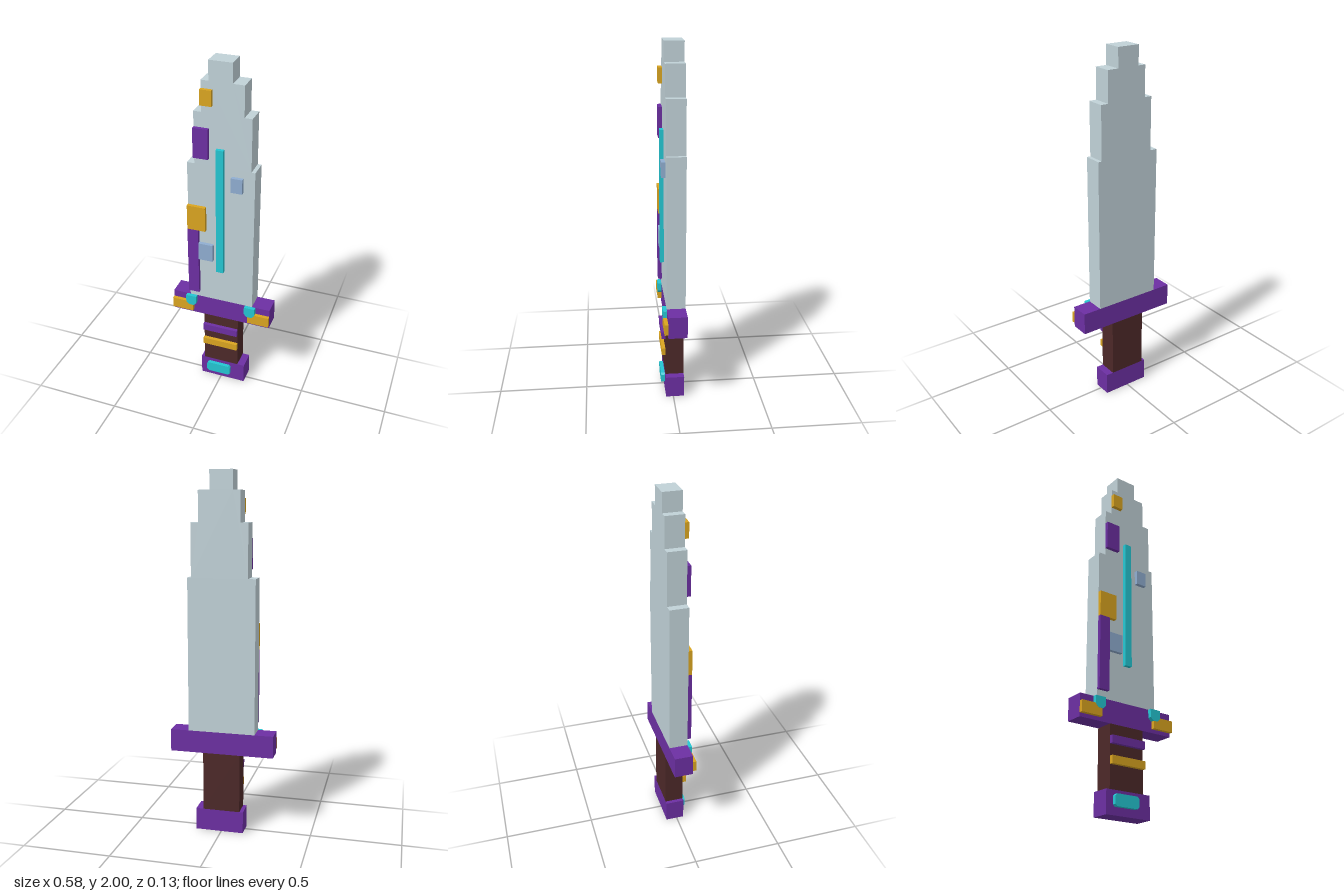
import * as THREE from 'three';

const U = 1 / 48; // one modelling cell
const BACK = -3 * U, FACE = 2 * U;

const colour = (name, color) => {
  const m = new THREE.MeshStandardMaterial({ color });
  m.name = name;
  return m;
};

export function createModel() {
  const steel = colour('steel', 0xc0d1d7);
  const purple = colour('purple', 0x6c2fa2);
  const gold = colour('gold', 0xdaa520);
  const teal = colour('teal', 0x24c6d2);
  const slate = colour('slate blue', 0x8fadd0);
  const leather = colour('dark leather', 0x4c2828);
  const group = new THREE.Group();
  group.name = 'sword';

  const add = (name, geometry, material) => {
    const mesh = new THREE.Mesh(geometry, material);
    mesh.name = name;
    group.add(mesh);
  };

  // Box from x0..x1, y0..y1 in cells
  const box = (name, mat, x0, x1, y0, y1, z0 = BACK, z1 = FACE) => {
    const g = new THREE.BoxGeometry((x1 - x0) * U, (y1 - y0) * U, z1 - z0);
    g.translate((x0 + x1) * U / 2, (y0 + y1) * U / 2, (z0 + z1) / 2);
    add(name, g, mat);
  };
  const inlay = (name, mat, x0, x1, y0, y1) => box(name, mat, x0, x1, y0, y1, FACE, 3 * U);

  // Flat outline in cells, extruded between two depths
  const slab = (name, mat, points, z0, z1) => {
    const shape = new THREE.Shape(points.map(([x, y]) => new THREE.Vector2(x * U, y * U)));
    const g = new THREE.ExtrudeGeometry(shape, { depth: z1 - z0, bevelEnabled: false });
    add(name, g.translate(0, 0, z0), mat);
  };
  // Gem with clipped corners: top cut t, bottom cut b
  const gem = (name, x0, x1, y0, y1, t, b) => slab(name, teal, [
    [x0 + b, y0], [x1 - b, y0], [x1, y0 + b], [x1, y1 - t],
    [x1 - t, y1], [x0 + t, y1], [x0, y1 - t], [x0, y0 + b],
  ], FACE, 3 * U + 0.0005);

  // Stepped blade
  slab('blade', steel, [
    [-9, 28], [9, 28], [9, 69], [8, 69], [8, 83], [6, 83], [6, 91], [3, 91],
    [3, 96], [-3, 96], [-3, 91], [-5, 91], [-5, 83], [-7, 83], [-7, 69], [-9, 69],
  ], BACK, FACE);

  // Hilt
  box('guard', purple, -14, 14, 22, 28);
  box('grip', leather, -5, 5, 6, 22);
  box('pommel', purple, -6, 7, 0, 6);

  // Blade inlays
  inlay('bladeCore', teal, -1, 1, 38, 74);
  inlay('upperGoldPatch', gold, -5, -2, 85, 89);
  inlay('upperPurplePatch', purple, -7, -3, 71, 79);
  inlay('upperSlatePatch', slate, 3, 6, 63, 67);
  inlay('edgeGoldPatch', gold, -9, -4, 50, 57);
  inlay('edgePurpleStrip', purple, -9, -6, 30, 50);
  inlay('lowerSlatePatch', slate, -6, -2, 41, 46);

  // Guard trim, mirrored
  for (const [side, s] of [['right', -1], ['left', 1]]) {
    inlay(side + 'GuardTrim', gold, Math.min(8 * s, 14 * s), Math.max(8 * s, 14 * s), 23, 26);
    gem(side + 'GuardGem', s < 0 ? -10 : 7, s < 0 ? -7 : 10, 25, 28, 0.02, 0.8);
  }

  // Grip bands and pommel gem
  inlay('upperGripBand', purple, -5, 5, 17, 19);
  inlay('lowerGripBand', gold, -5, 5, 12, 14);
  gem('pommelGem', -4, 3, 2, 5, 0.5, 0.5);

  return group;
}
